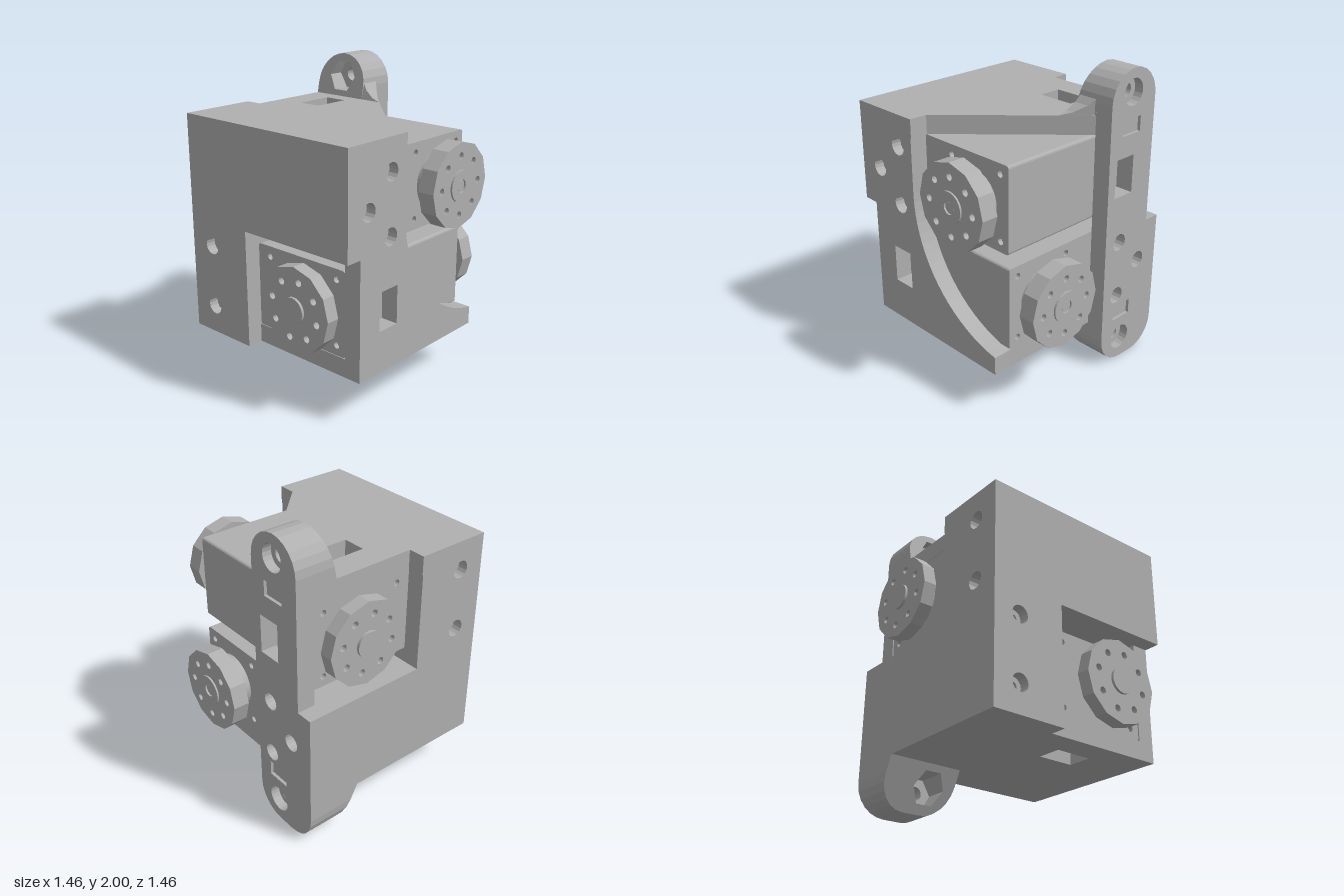
import * as THREE from 'three';

const mat = new THREE.MeshStandardMaterial({ color: 0xb0b0b0 });
mat.name = 'plain grey';

function add(parent, name, geo) {
  const m = new THREE.Mesh(geo, mat);
  m.name = name;
  parent.add(m);
  return m;
}
function box(parent, name, x0, x1, y0, y1, z0, z1) {
  const g = new THREE.BoxGeometry(x1 - x0, y1 - y0, z1 - z0);
  g.translate((x0 + x1) / 2, (y0 + y1) / 2, (z0 + z1) / 2);
  return add(parent, name, g);
}
// round cylinder along z
function disc(parent, name, x, y, z0, z1, r, seg = 32) {
  const g = new THREE.CylinderGeometry(r, r, z1 - z0, seg).rotateX(Math.PI / 2);
  return add(parent, name, g.translate(x, y, (z0 + z1) / 2));
}

const poly = (pts) => pts.map(([x, y]) => new THREE.Vector2(x, y));
const arc = (cx, cy, r, a0, a1, n = 10) => Array.from({ length: n + 1 }, (_, i) => {
  const a = a0 + (a1 - a0) * i / n;
  return [cx + r * Math.cos(a), cy + r * Math.sin(a)];
});
const ring = (cx, cy, r, n = 16) => arc(cx, cy, r, 0, Math.PI * 2 * (n - 1) / n, n - 1);
const rect = (cx, cy, w, h) => [[cx - w / 2, cy - h / 2], [cx + w / 2, cy - h / 2], [cx + w / 2, cy + h / 2], [cx - w / 2, cy + h / 2]];

// slab between lo and hi on an axis; outline is (z,y), (x,z) or (x,y)
function slab(axis, lo, hi, pts, holes = []) {
  const s = new THREE.Shape(poly(pts));
  holes.forEach((h) => s.holes.push(new THREE.Path(poly(h))));
  const g = new THREE.ExtrudeGeometry(s, { depth: hi - lo, bevelEnabled: false, curveSegments: 8 });
  if (axis === 'x') return g.rotateY(-Math.PI / 2).translate(hi, 0, 0);
  if (axis === 'y') return g.rotateX(Math.PI / 2).translate(0, hi, 0);
  return g.translate(0, 0, lo);
}
// move the vertices of a geometry by a rule
function shift(g, rule) {
  const p = g.attributes.position;
  for (let i = 0; i < p.count; i++) p.setZ(i, rule(p.getX(i), p.getY(i), p.getZ(i)));
  g.computeVertexNormals();
  return g;
}

const HX = 0.25, HY = 0.685;

function horn(parent, name, z0, z1) {
  const holes = Array.from({ length: 8 }, (_, i) => {
    const a = (i + (z0 > 0 ? 0.23 : 0)) * Math.PI / 4 - (z0 > 0 ? 0.4 : 0);
    return ring(HX + 0.186 * Math.cos(a), HY + 0.186 * Math.sin(a), 0.023, 12);
  });
  add(parent, name, slab('z', z0, z1, ring(HX, HY, 0.272, 12), holes));
}

function servo(name) {
  const s = new THREE.Group();
  s.name = name;
  const x0 = -0.19, x1 = 0.527, y0 = 0.41, y1 = 0.96, r = 0.018, q = Math.PI / 2;
  const outline = [
    ...arc(x1 - r, y1 - r, r, 0, q, 3), ...arc(x0 + r, y1 - r, r, q, 2 * q, 3),
    ...arc(x0 + r, y0 + r, r, 2 * q, 3 * q, 3), ...arc(x1 - r, y0 + r, r, 3 * q, 4 * q, 3),
  ];
  const screws = (xs) => xs.flatMap((x) => [0.475, 0.893].map((y) => ring(x, y, 0.021, 12)));
  add(s, 'servoBody', slab('z', -0.5, 0.545, outline));
  add(s, 'servoFrontCap', slab('z', 0.545, 0.575, outline, screws([-0.09, 0.46])));
  add(s, 'servoBackCap', slab('z', -0.53, -0.5, outline, screws([0.05, 0.46])));
  // idle side
  disc(s, 'idleBoss', HX, HY, 0.57, 0.612, 0.182);
  disc(s, 'idleCollar', HX, HY, 0.61, 0.635, 0.1);
  horn(s, 'idleHorn', 0.628, 0.715);
  disc(s, 'idleHub', HX, HY, 0.71, 0.732, 0.083);
  // driven side
  disc(s, 'driveBoss', HX, HY, -0.572, -0.525, 0.18);
  add(s, 'driveSpline', slab('z', -0.6, -0.57, Array.from({ length: 48 }, (_, i) => {
    const a = i * Math.PI / 24, k = i % 2 ? 0.068 : 0.076;
    return [HX + k * Math.cos(a), HY + k * Math.sin(a)];
  })));
  disc(s, 'driveCollar', HX, HY, -0.612, -0.595, 0.13);
  horn(s, 'driveHorn', -0.72, -0.61);
  add(s, 'driveHub', slab('z', -0.732, -0.715, ring(HX, HY, 0.1, 24), [ring(HX, HY, 0.042, 16)]));
  disc(s, 'driveScrew', HX, HY, -0.724, -0.715, 0.032, 16);
  // cable sockets on the side and the underside
  add(s, 'sideSocket', slab('x', 0.52, 0.55, rect(0.325, 0.685, 0.062, 0.16),
    [-1, 0, 1].map((i) => rect(0.325, 0.685 + i * 0.05, 0.016, 0.016))));
  add(s, 'lowerSocket', slab('y', 0.385, 0.42, rect(0.145, 0.32, 0.16, 0.062),
    [-1, 0, 1].map((i) => rect(0.145 + i * 0.05, 0.32, 0.016, 0.016))));
  return s;
}

export function createModel() {
  const root = new THREE.Group();
  root.name = 'twoAxisServoJoint';

  // the two servos, the upper one turned half round a diagonal axis
  root.add(servo('lowerServo'));
  const upper = servo('upperServo');
  upper.quaternion.setFromAxisAngle(new THREE.Vector3(1, 0, -1).normalize(), Math.PI);
  upper.position.y = 2.01;
  root.add(upper);

  const casing = new THREE.Group();
  casing.name = 'casing';
  root.add(casing);
  const R = 0.057;

  // screw recess lining with a narrower hole, one per screw position
  const screwSeats = (axis, lo, hi, list) => list.forEach(([a, b]) =>
    add(casing, 'screwSeat', slab(axis, lo, hi, ring(a, b, R), [ring(a, b, 0.027, 12)])));

  // filled core
  box(casing, 'columnCore', -0.575, -0.19, 0.41, 0.95, -0.53, 0.57);
  box(casing, 'upperCore', -0.575, 0.53, 1.06, 1.6, 0.185, 0.57);
  box(casing, 'coreBridge', -0.575, -0.19, 0.95, 1.06, 0.185, 0.57);

  // front wall, cut away round the lower horn
  const frontScrews = [[-0.507, 0.89], [-0.507, 0.477]];
  add(casing, 'frontWall', slab('z', 0.57, 0.685,
    [[-0.69, 0.29], [-0.19, 0.29], [-0.19, 1.06], [0.645, 1.06], [0.645, 1.6], [-0.69, 1.6]],
    frontScrews.map(([a, b]) => ring(a, b, R))));
  screwSeats('z', 0.57, 0.62, frontScrews);

  // right wall of the model, cut away round the upper horn
  const rightScrews = [[0.505, 1.53], [0.505, 1.12]];
  add(casing, 'rightWall', slab('x', -0.69, -0.575,
    [[-0.53, 0.29], [0.57, 0.29], [0.57, 1.6], [0.185, 1.6], [0.185, 0.95], [-0.53, 0.95]],
    rightScrews.map(([a, b]) => ring(a, b, R))));
  screwSeats('x', -0.625, -0.575, rightScrews);

  // left wall with the sweeping cut
  const leftScrews = [[0.315, 1.515], [0.315, 1.13], [0.51, 1.322]];
  add(casing, 'leftWall', slab('x', 0.53, 0.645,
    [[0.58, 0.29], [0.58, 1.6], [0.185, 1.6], ...arc(-0.666, 1.25, 0.851, 0, -1.41, 18), [-0.53, 0.29]],
    [...leftScrews.map(([a, b]) => ring(a, b, R)), rect(0.325, 0.685, 0.16, 0.25)]));
  screwSeats('x', 0.53, 0.58, leftScrews);

  // floor and roof
  add(casing, 'floorPlate', slab('y', 0.29, 0.41,
    [[-0.575, -0.53], [0.53, -0.53], [0.53, 0.58], [-0.575, 0.58]], [rect(0.145, 0.32, 0.25, 0.16)]));
  add(casing, 'roofPlate', slab('y', 1.6, 1.72,
    [[-0.578, -0.53], [-0.185, -0.53], [0.525, 0.18], [0.645, 0.18], [0.645, 0.685], [-0.69, 0.685], [-0.69, 0.18], [-0.578, 0.18]],
    [rect(-0.32, -0.145, 0.155, 0.25)]));

  // back mounting bar in layers, so each recess gets its own depth
  const P = Math.PI, ears = [[-0.372, 1.852], [-0.372, 0.155]];
  const lowEnd = [...arc(-0.5, 0.19, 0.19, P, 1.5 * P, 6), ...arc(-0.38, 0.19, 0.19, 1.5 * P, 2 * P, 6)];
  const topEnd = arc(-0.38, 1.8, 0.2, 0, P, 12);
  const bar = [...lowEnd, ...topEnd, [-0.58, 0.95], [-0.69, 0.95]];
  const backScrews = [[-0.315, 0.88], [-0.315, 0.495], [-0.51, 0.688]];
  const common = [...backScrews.map(([a, b]) => ring(a, b, R)), rect(-0.325, 1.325, 0.16, 0.25)];
  const earHoles = (r) => ears.map(([a, b]) => ring(a, b, r, 20));
  const slots = [1.64, 0.36].map((y) => rect(-0.372, y, 0.16, 0.1));
  add(casing, 'mountBarOuter', slab('z', -0.65, -0.63, bar, [...common, ...earHoles(0.085), ...slots]));
  add(casing, 'mountBarMiddle', slab('z', -0.63, -0.59, bar, [...common, ...earHoles(0.085)]));
  add(casing, 'mountBarInner', slab('z', -0.59, -0.53, bar, [...common, ...earHoles(0.045)]));
  screwSeats('z', -0.58, -0.53, backScrews);

  // ears with hexagonal nut pockets and sloping fronts
  const lowEar = [...lowEnd, [-0.19, 0.29], [-0.69, 0.29]];
  const topEar = [[-0.18, 1.72], ...topEnd, [-0.58, 1.72]];
  [['lowerEar', lowEar, (y) => -0.43 + 0.517 * y], ['upperEar', topEar, (y) => -0.43 + 0.06 * ((2 - y) / 0.28) ]]
    .forEach(([name, pts, front], i) => {
      const [x, y] = ears[i === 0 ? 1 : 0];
      add(casing, name + 'Base', slab('z', -0.53, -0.5, pts, [ring(x, y, 0.045, 20)]));
      add(casing, name, shift(slab('z', -0.5, -0.43, pts, [ring(x, y, 0.108, 6)]),
        (px, py, pz) => (pz > -0.46 ? front(py) : pz)));
    });

  // fillet between upper ear and roof, following the diagonal edge
  const web = [[-0.19, 1.72], [-0.03, 1.72], [-0.09, 1.74], [-0.15, 1.78], [-0.19, 1.83]];
  add(casing, 'earFillet', shift(slab('z', 0, 1, web), (x, y, z) =>
    (z > 0.5 ? -0.37 - 0.3 * (y - 1.72) : Math.min(-0.53 + (x + 0.19), -0.372 - 0.3 * (y - 1.72)))));

  return root;
}
